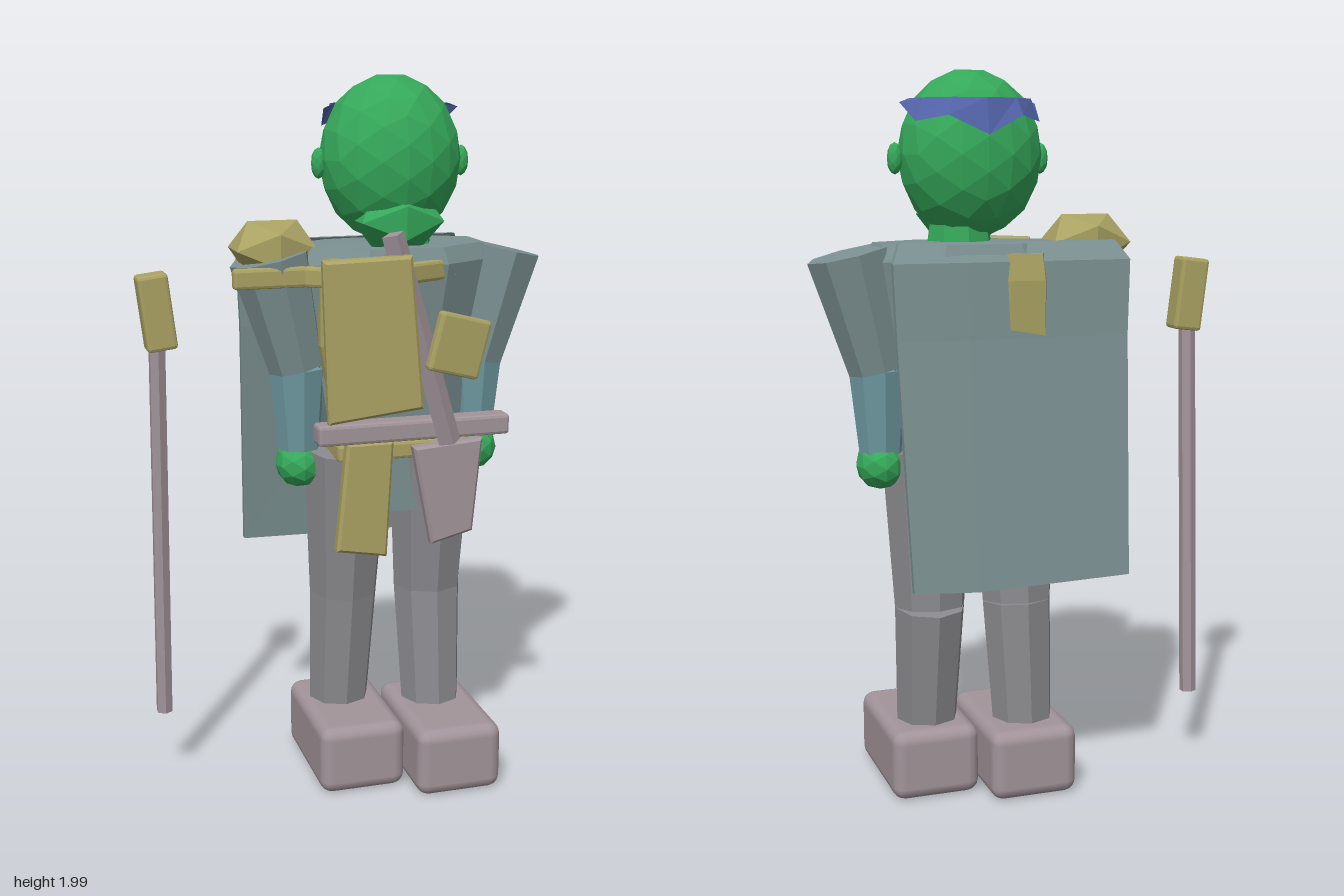
import * as THREE from 'three';
import { RoundedBoxGeometry } from 'three/addons/geometries/RoundedBoxGeometry.js';

const V = (p) => new THREE.Vector3(...p);
const material = (color) => new THREE.MeshStandardMaterial({ color, flatShading: true, side: THREE.DoubleSide });
const skin = material(0x35a85a);
const cloth = material(0x7c9192);
const sleeve = material(0x6f9aa2);
const trousers = material(0x8b8b8f);
const leather = material(0xa2949a);
const brass = material(0xaaa263);
const hairBlue = material(0x5566ad);

export function createModel() {
  const group = new THREE.Group();

  const add = (name, geometry, mat, pos = [0, 0, 0], rot = [0, 0, 0]) => {
    const mesh = new THREE.Mesh(geometry, mat);
    mesh.name = name;
    mesh.position.set(...pos);
    mesh.rotation.set(...rot);
    group.add(mesh);
    return mesh;
  };

  // faceted ellipsoid
  const blob = (name, mat, pos, radii, detail) =>
    add(name, new THREE.IcosahedronGeometry(1, detail).scale(...radii), mat, pos);

  // tapered prism between two points
  const limb = (name, mat, a, b, ra, rb, sides = 8) => {
    const dir = V(a).sub(V(b));
    const mesh = add(name, new THREE.CylinderGeometry(ra, rb, dir.length(), sides), mat);
    mesh.position.copy(V(a).add(V(b)).multiplyScalar(0.5));
    mesh.quaternion.setFromUnitVectors(new THREE.Vector3(0, 1, 0), dir.normalize());
    return mesh;
  };

  // bevelled plate from a front outline, centred on the given depth
  const plate = (name, mat, points, depth, z) => {
    const bevel = 0.008;
    const shape = new THREE.Shape(points.map(([x, y]) => new THREE.Vector2(x, y)));
    const geometry = new THREE.ExtrudeGeometry(shape, {
      depth: depth - 2 * bevel, bevelThickness: bevel, bevelSize: bevel, bevelOffset: -bevel, bevelSegments: 1,
    });
    return add(name, geometry.translate(0, 0, bevel - depth / 2), mat, [0, 0, z]);
  };

  const bar = (name, mat, size, pos, rot) =>
    add(name, new RoundedBoxGeometry(...size, 1, 0.009), mat, pos, rot);

  // head, muzzle, ears and neck
  blob('head', skin, [0.13, 1.775, -0.03], [0.196, 0.225, 0.172], 2);
  blob('muzzle', skin, [0.13, 1.615, 0.045], [0.135, 0.085, 0.1], 0);
  for (const x of [-0.068, 0.338]) blob('ear', skin, [x, 1.765, -0.037], [0.021, 0.042, 0.021], 1);
  add('neck', new THREE.CylinderGeometry(0.08, 0.1, 0.14, 8), skin, [0.16, 1.54, -0.03]);

  // pointed band wrapped round the back of the head
  const bandPoints = [], bandFaces = [], drops = [0.0, 0.05, 0.035, 0.085, 0.035, 0.05, 0.0];
  drops.forEach((drop, i) => {
    const a = -0.1 + (i / 6) * (Math.PI + 0.2), c = Math.cos(a), s = Math.sin(a);
    bandPoints.push(0.13 + 0.165 * c, 1.92, -0.035 - 0.15 * s);
    bandPoints.push(0.13 + 0.19 * c, 1.91 - drop, -0.035 - 0.168 * s);
    if (i) bandFaces.push(2 * i - 2, 2 * i - 1, 2 * i, 2 * i, 2 * i - 1, 2 * i + 1);
  });
  const band = new THREE.BufferGeometry();
  band.setAttribute('position', new THREE.Float32BufferAttribute(bandPoints, 3));
  band.setIndex(bandFaces);
  band.computeVertexNormals();
  add('headBand', band, hairBlue);

  // torso from chest to tunic hem
  const lathe = (profile, sx, sz) =>
    new THREE.LatheGeometry(profile.map((p) => new THREE.Vector2(...p)), 8).rotateY(Math.PI / 8).scale(sx, 1, sz);
  add('torso', lathe([[0, 0.8], [0.205, 0.8], [0.205, 1.02], [0.25, 1.3], [0.3, 1.5], [0.27, 1.545], [0, 1.55]], 1, 0.57),
    cloth, [0.14, 0, -0.045]);
  add('chestWrap', lathe([[0, 1.12], [0.15, 1.13], [0.205, 1.28], [0.205, 1.45], [0.19, 1.52], [0, 1.52]], 0.62, 1),
    brass, [0.03, 0, -0.03]);

  // arms and hands, mirrored about the body's middle
  for (const s of [1, -1]) {
    const at = (x, y) => [0.13 + s * x, y, -0.037];
    limb('upperArm', cloth, at(0.335, 1.52), at(0.262, 1.21), 0.115, 0.08);
    limb('forearm', sleeve, at(0.262, 1.21), at(0.258, 0.98), 0.08, 0.058);
    blob('hand', skin, at(0.26, s > 0 ? 0.95 : 0.935), [0.066, 0.068, 0.078], 1);
  }

  // legs and boots, one step apart
  for (const [x, ankleX, kneeZ, ankleZ, bootX, bootZ] of [
    [0.255, 0.255, -0.04, 0.005, 0.26, 0.07],
    [0.005, -0.005, -0.055, -0.075, 0.002, -0.02],
  ]) {
    limb('thigh', trousers, [x, 0.98, -0.015], [x, 0.545, kneeZ], 0.125, 0.1);
    limb('shin', trousers, [x, 0.545, kneeZ], [ankleX, 0.18, ankleZ], 0.1, 0.086);
    const boot = add('boot', new RoundedBoxGeometry(0.248, 0.197, 0.4, 2, 0.035), leather, [bootX, 0.107, bootZ]);
    boot.material = leather.clone();
    boot.material.flatShading = false;
  }

  // cape: a thin sheet widening backwards towards the hem
  const capeRows = [
    [-0.235, 0.365, 1.55, -0.17], [-0.265, 0.39, 1.5, -0.205],
    [-0.255, 0.385, 1.3, -0.217], [-0.24, 0.365, 0.65, -0.283],
  ];
  const capePoints = [], capeFaces = [];
  for (const [offset, flip] of [[0, false], [0.02, true]]) {
    const base = capePoints.length / 3;
    capeRows.forEach(([x0, x1, y, z], r) => {
      capePoints.push(x0, y, z + offset, 0.19, y - (r === 3 ? 0.01 : 0), z + offset - 0.005, x1, y, z + offset);
      if (r) for (let c = 0; c < 2; c++) {
        const a = base + 3 * (r - 1) + c, b = a + 1, d = a + 3, e = a + 4;
        capeFaces.push(...(flip ? [a, d, b, b, d, e] : [a, b, d, b, e, d]));
      }
    });
  }
  const rim = [0, 1, 2, 5, 8, 11, 10, 9, 6, 3];
  rim.forEach((a, i) => {
    const b = rim[(i + 1) % rim.length];
    capeFaces.push(a, a + 12, b, b, a + 12, b + 12);
  });
  const cape = new THREE.BufferGeometry();
  cape.setAttribute('position', new THREE.Float32BufferAttribute(capePoints, 3));
  cape.setIndex(capeFaces);
  cape.computeVertexNormals();
  add('cape', cape, cloth);

  // shoulder cap
  blob('shoulderCap', brass, [-0.195, 1.54, -0.05], [0.13, 0.088, 0.115], 0);

  // collar strap running across the chest
  const strap = [[-0.325, 0.058], [-0.13, 0.058], [-0.01, 0.145], [0.13, 0.145], [0.28, 0.075]];
  for (let i = 1; i < strap.length; i++) {
    const [[x0, z0], [x1, z1]] = [strap[i - 1], strap[i]];
    const y = i < 3 ? 1.475 : 1.485;
    bar('collarStrap', brass, [Math.hypot(x1 - x0, z1 - z0) + 0.01, 0.055, 0.032],
      [(x0 + x1) / 2, y, (z0 + z1) / 2], [0, -Math.atan2(z1 - z0, x1 - x0), 0]);
  }

  // front panel, slung stick and pouch
  plate('frontPanel', brass, [[-0.12, 1.11], [0.135, 1.145], [0.1, 1.55], [-0.135, 1.54]], 0.042, 0.247).rotation.y = -0.1;
  limb('slungStick', leather, [0.06, 1.6, 0.222], [0.225, 1.035, 0.222], 0.031, 0.031, 4);
  bar('pouch', brass, [0.15, 0.16, 0.035], [0.235, 1.305, 0.25], [0, 0.1, -0.26]);

  // belts
  bar('frontBelt', leather, [0.54, 0.056, 0.065], [0.132, 1.07, 0.182]);
  bar('waistBelt', brass, [0.38, 0.05, 0.26], [0.135, 0.99, -0.02]);

  // hanging flaps
  plate('rightFlap', brass, [[-0.072, 0.725], [0.072, 0.7], [0.09, 1.03], [-0.042, 1.03]], 0.04, 0.137);
  plate('leftFlap', leather, [[0.19, 0.735], [0.31, 0.765], [0.335, 1.03], [0.135, 1.015]], 0.04, 0.17);

  // free-standing staff
  limb('staffShaft', leather, [-0.522, 1.3, -0.025], [-0.525, 0.215, -0.075], 0.024, 0.024, 6);
  bar('staffHead', brass, [0.083, 0.205, 0.07], [-0.522, 1.385, -0.025], [0, 0, 0.12]);

  return group;
}
